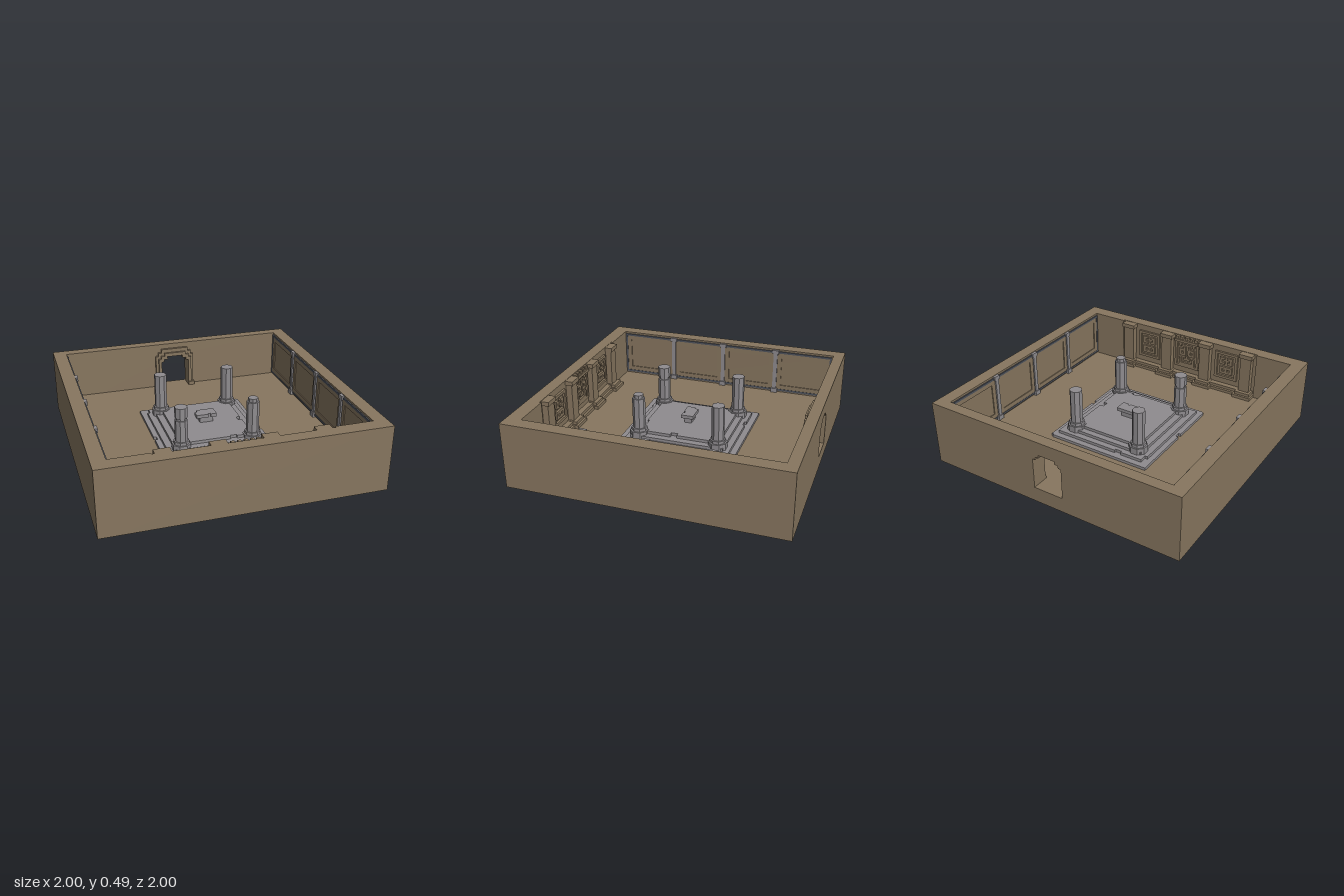
import * as THREE from 'three';

const mat = (name, color) => Object.assign(new THREE.MeshStandardMaterial({ color }), { name });

export function createModel() {
  const root = new THREE.Group();
  root.name = 'templeRoom';
  const earth = mat('earthBrown', 0x87765f);
  const stone = mat('stoneGrey', 0x8f8c8f);
  const dark = mat('darkTrim', 0x4f535c);

  const group = (name, parent = root) => {
    const g = new THREE.Group();
    g.name = name;
    parent.add(g);
    return g;
  };
  const add = (parent, name, geo, m) => {
    const mesh = new THREE.Mesh(geo, m);
    mesh.name = name;
    parent.add(mesh);
    return mesh;
  };
  // Box given by its min and max on each axis
  const box = (parent, name, m, x0, x1, y0, y1, z0, z1) => {
    const b = add(parent, name, new THREE.BoxGeometry(x1 - x0, y1 - y0, z1 - z0), m);
    b.position.set((x0 + x1) / 2, (y0 + y1) / 2, (z0 + z1) / 2);
    return b;
  };
  const polygon = (pts) => new THREE.Shape(pts.map(([x, y]) => new THREE.Vector2(x, y)));
  const extrude = (shape, depth) => new THREE.ExtrudeGeometry(shape, { depth, bevelEnabled: false });

  const H = 0.49, F = 0.113;

  // Floor and outer walls
  const shell = group('roomShell');
  box(shell, 'floor', earth, -0.9, 0.9, 0, F, -0.92, 0.905);
  for (const s of [-1, 1]) {
    const a = s * 0.9, b = s;
    box(shell, 'sideWall', earth, Math.min(a, b), Math.max(a, b), 0, H, -1, 1);
    const c = s * 0.62, d = s * 0.9;
    box(shell, 'frontWallFlank', earth, Math.min(c, d), Math.max(c, d), F, H, 0.89, 0.905);
  }
  box(shell, 'frontWall', earth, -0.9, 0.9, 0, H, 0.905, 1);

  // Stepped arch outline, mirrored about x = 0
  const arch = (w, spring, top) => {
    const half = [[w, F], [w, spring], [w - 0.022, spring], [w - 0.022, (spring + top) / 2],
      [w - 0.05, (spring + top) / 2], [w - 0.05, top]];
    return [...half, ...half.map(([x, y]) => [-x, y]).reverse()];
  };
  const wall = polygon([[-0.9, 0], [0.9, 0], [0.9, H], [-0.9, H]]);
  wall.holes.push(new THREE.Path(arch(0.115, 0.345, 0.39).map((p) => new THREE.Vector2(...p))));
  add(shell, 'backWall', extrude(wall, 0.08), earth).position.z = -1;

  // Doorway surround: two stepped arches
  const door = group('doorway');
  const surround = (w, spring, top, depth) => {
    const inner = arch(0.115, 0.345, 0.39);
    const shape = polygon([...arch(w, spring, top).slice(0), ...inner.reverse()]);
    add(door, 'archMoulding', extrude(shape, depth), earth).position.z = -0.92;
  };
  surround(0.162, 0.39, 0.45, 0.022);
  surround(0.14, 0.37, 0.42, 0.04);
  for (const s of [-1, 1]) box(door, 'doorFoot', earth, s * 0.14 - 0.024, s * 0.14 + 0.024, F, F + 0.03, -0.92, -0.872);

  // Side walls: trimmed panels between slim pilasters
  for (const s of [-1, 1]) {
    const side = group(s > 0 ? 'leftWallPanels' : 'rightWallPanels');
    const plate = (name, m, t, y0, y1, z0, z1) => {
      const a = s * (0.9 - t), b = s * 0.9;
      box(side, name, m, Math.min(a, b), Math.max(a, b), y0, y1, z0, z1);
    };
    const frame = (name, m, t, w, y0, y1, z0, z1) => {
      plate(name, m, t, y1 - w, y1, z0, z1);
      plate(name, m, t, y0, y0 + w, z0, z1);
      plate(name, m, t, y0 + w, y1 - w, z0, z0 + w);
      plate(name, m, t, y0 + w, y1 - w, z1 - w, z1);
    };
    const posts = [-0.91, -0.45, 0, 0.44, 0.885];
    for (let i = 0; i < 4; i++) {
      const z0 = posts[i], z1 = posts[i + 1];
      frame('panelTrim', dark, 0.01, 0.016, F + 0.012, 0.475, z0, z1);
      frame('panelBorder', earth, 0.007, 0.035, F + 0.028, 0.459, z0 + 0.016, z1 - 0.016);
    }
    for (const z of posts.slice(1, 4)) {
      plate('wallPilaster', stone, 0.018, F, 0.484, z - 0.016, z + 0.016);
      plate('pilasterFoot', stone, 0.026, F, F + 0.035, z - 0.026, z + 0.026);
      plate('pilasterCap', stone, 0.022, 0.455, 0.486, z - 0.026, z + 0.026);
    }
  }

  // Carved front wall: plinth, pilasters and relief panels
  const carved = group('carvedWall');
  box(carved, 'plinth', earth, -0.6, 0.6, F, F + 0.022, 0.84, 0.905);
  box(carved, 'plinthStep', earth, -0.6, 0.6, F + 0.022, F + 0.045, 0.86, 0.905);
  for (const x of [-0.545, -0.18, 0.175, 0.545]) {
    const p = group('carvedPilaster', carved);
    const tier = (name, hw, y0, y1, z) => box(p, name, earth, x - hw, x + hw, y0, y1, z, 0.905);
    tier('foot', 0.077, F, F + 0.025, 0.81);
    tier('footStep', 0.062, F + 0.025, F + 0.048, 0.828);
    tier('shaft', 0.045, F + 0.048, 0.485, 0.858);
    tier('cap', 0.056, 0.455, 0.487, 0.845);
  }

  const relief = (name, x, w, yTop, rows) => {
    const g = group(name, carved);
    const c = w / rows[0].length, h = 0.021;
    rows.forEach((row, r) => {
      // Merge each run of raised cells into one bar
      for (const run of row.matchAll(/#+/g)) {
        const x0 = x - w / 2 + run.index * c, y1 = yTop - r * h;
        box(g, 'carving', earth, x0, x0 + run[0].length * c, y1 - h, y1, 0.888, 0.905);
      }
    });
  };
  const face = ['#########', '#.......#', '#.##.##.#', '#.#...#.#', '#.##.##.#', '#.......#',
    '#.#####.#', '#.#.#.#.#', '#.#####.#', '#.......#', '#########'];
  relief('reliefPanel', 0.36, 0.2, 0.44, face);
  relief('reliefPanel', -0.3625, 0.2, 0.44, face);
  relief('centreRelief', -0.0025, 0.22, 0.44, ['###########', '#.#.....#.#', '#...#.#...#', '#.###.###.#',
    '#.#.#.#.#.#', '#.###.###.#', '#....#....#', '#.#.###.#.#', '#.#.....#.#', '#.#######.#', '###########']);
  const crest = group('crest', carved);
  box(crest, 'crestBar', earth, -0.11, 0.105, 0.44, 0.462, 0.87, 0.905);
  for (const x of [-0.09, -0.045, 0, 0.045, 0.085]) box(crest, 'crestBlock', earth, x - 0.013, x + 0.013, 0.462, 0.486, 0.878, 0.905);

  // Stepped platform with worn edges
  const platform = group('platform');
  const slab = (parent, name, top, h, pts) => {
    const geo = extrude(polygon(pts), h).rotateX(Math.PI / 2);
    add(parent, name, geo, stone).position.y = top;
  };
  slab(platform, 'lowestStep', 0.134, 0.022, [[-0.41, -0.44], [0.39, -0.44], [0.39, -0.43], [0.405, -0.43],
    [0.405, 0.09], [0.385, 0.09], [0.385, 0.13], [0.405, 0.13], [0.405, 0.44], [-0.4, 0.44], [-0.4, 0.43],
    [-0.41, 0.43], [-0.41, 0.07], [-0.39, 0.07], [-0.39, 0.03], [-0.41, 0.03]]);
  slab(platform, 'secondStep', 0.156, 0.03, [[-0.35, -0.395], [-0.18, -0.395], [-0.18, -0.38], [-0.13, -0.38],
    [-0.13, -0.395], [0.365, -0.395], [0.365, 0.39], [-0.2, 0.39], [-0.2, 0.38], [-0.23, 0.38], [-0.23, 0.39],
    [-0.37, 0.39], [-0.37, -0.34], [-0.35, -0.34]]);
  slab(platform, 'thirdStep', 0.178, 0.03, [[-0.32, -0.35], [0.32, -0.35], [0.32, 0.35], [-0.32, 0.35]]);
  slab(platform, 'topStep', 0.2, 0.03, [[-0.27, -0.305], [0.27, -0.305], [0.27, 0.01], [0.24, 0.01], [0.24, 0.06],
    [0.27, 0.06], [0.27, 0.3], [0.15, 0.3], [0.15, 0.285], [0.1, 0.285], [0.1, 0.3], [-0.27, 0.3]]);

  // Broken altar
  const altar = group('altar');
  box(altar, 'altarFoot', stone, -0.05, 0.05, 0.2, 0.245, -0.03, 0.025);
  slab(altar, 'altarSlab', 0.27, 0.026, [[-0.06, -0.05], [0.075, -0.05], [0.075, 0.042], [0.03, 0.042], [0.03, 0.03],
    [0.01, 0.03], [0.01, 0.042], [-0.08, 0.042], [-0.08, -0.02], [-0.06, -0.02]]);

  // Eight-sided columns on stepped feet
  for (const x of [-0.27, 0.265]) for (const z of [-0.3, 0.3]) {
    const col = group('column');
    col.position.set(x, 0, z);
    const drum = (name, r, y0, y1) => {
      const geo = new THREE.CylinderGeometry(r, r, y1 - y0, 8).rotateY(Math.PI / 8);
      add(col, name, geo, stone).position.y = (y0 + y1) / 2;
      geo.copy(geo.toNonIndexed());
      geo.computeVertexNormals();
    };
    drum('columnFoot', 0.07, 0.15, 0.205);
    drum('columnFootStep', 0.058, 0.205, 0.228);
    // One shaft is cracked near the top
    if (x < 0 && z > 0) {
      drum('columnShaft', 0.047, 0.228, 0.39);
      drum('crack', 0.038, 0.39, 0.408);
      drum('columnShaft', 0.047, 0.408, 0.487);
    } else if (x > 0 && z > 0) {
      drum('columnShaft', 0.047, 0.228, 0.46);
      drum('brokenTop', 0.036, 0.46, 0.487);
    } else drum('columnShaft', 0.047, 0.228, 0.487);
  }
  return root;
}
